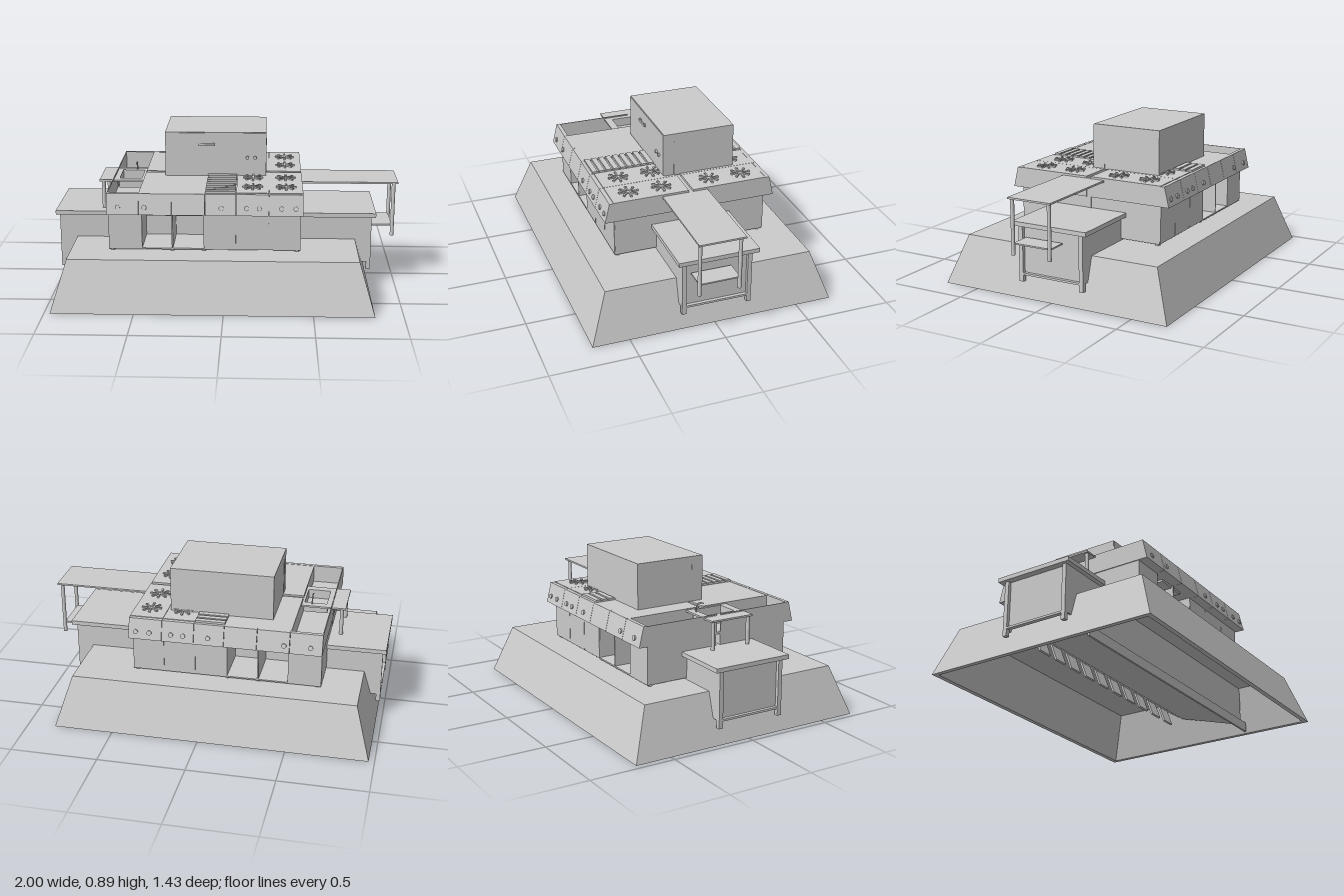
import * as THREE from 'three';

const mat = new THREE.MeshStandardMaterial({ color: 0xcccccc, flatShading: true, side: THREE.DoubleSide });

export function createModel() {
  const root = new THREE.Group();

  const add = (name, geo, parent = root) => {
    const m = new THREE.Mesh(geo, mat);
    m.name = name;
    parent.add(m);
    return m;
  };
  // Box given by its limits on each axis
  const box = (name, x0, x1, y0, y1, z0, z1, parent) => {
    const g = new THREE.BoxGeometry(x1 - x0, y1 - y0, z1 - z0);
    g.translate((x0 + x1) / 2, (y0 + y1) / 2, (z0 + z1) / 2);
    return add(name, g, parent);
  };
  // Upright round post
  const post = (name, x, z, y0, y1, r, parent) => {
    const g = new THREE.CylinderGeometry(r, r, y1 - y0, 12);
    g.translate(x, (y0 + y1) / 2, z);
    return add(name, g, parent);
  };
  const toShape = pts => new THREE.Shape(pts.map(p => new THREE.Vector2(...p)));
  const extrude = (shape, depth) => new THREE.ExtrudeGeometry(shape, { depth, bevelEnabled: false });
  // Profile of [z, y] points swept from x0 to x1
  const sweepX = (name, pts, x0, x1, parent) => {
    const g = extrude(toShape(pts), x1 - x0);
    g.rotateY(-Math.PI / 2);
    g.translate(x1, 0, 0);
    return add(name, g, parent);
  };
  const group = name => {
    const g = new THREE.Group();
    g.name = name;
    root.add(g);
    return g;
  };

  // Hood shell: rectangular rings rolled from the outer roof round the rim to the inner ceiling
  const hood = group('hood');
  const rings = [
    [-0.88, 0.755, -0.61, 0.61, 0.285], [-0.967, 0.841, -0.713, 0.713, 0],
    [-0.94, 0.815, -0.685, 0.685, 0], [-0.86, 0.735, -0.59, 0.59, 0.275],
  ].map(([x0, x1, z0, z1, y]) => [[x0, y, z1], [x1, y, z1], [x1, y, z0], [x0, y, z0]]);
  const v = [];
  const quad = (a, b, c, d) => v.push(...a, ...b, ...c, ...a, ...c, ...d);
  quad(...rings[0]);
  for (let r = 0; r < 3; r++)
    for (let i = 0; i < 4; i++) {
      const j = (i + 1) % 4;
      quad(rings[r + 1][i], rings[r + 1][j], rings[r][j], rings[r][i]);
    }
  quad(...[...rings[3]].reverse());
  const shell = new THREE.BufferGeometry();
  shell.setAttribute('position', new THREE.Float32BufferAttribute(v, 3));
  shell.computeVertexNormals();
  add('hoodShell', shell, hood);

  // Sloped plenum with a drip lip, and a row of steep filters behind it
  sweepX('plenum', [[0.3, 0.275], [0.3, 0.05], [0.25, 0.05], [-0.12, 0.16], [-0.3, 0.275]], -0.87, 0.745, hood);
  box('dripLip', -0.915, 0.79, 0.002, 0.06, 0.3, 0.312, hood);
  for (let i = 0; i < 11; i++) {
    const f = box('filter', -0.045, 0.045, -0.085, 0.085, -0.006, 0.006, hood);
    f.position.set(0.66 - i * 0.145, 0.2, -0.21);
    f.rotation.x = -0.35;
  }

  // Long low table running through the ranges, its ends standing out past the hood
  const low = group('lowTable');
  box('lowTableTop', -1, 0.873, 0.425, 0.45, -0.243, 0.228, low);
  for (const z of [-0.21, 0.19]) {
    const g = extrude(toShape([[-0.975, 0.425], [-0.975, 0.145], [-0.923, 0.145], [-0.88, 0.285],
      [0.755, 0.285], [0.797, 0.145], [0.845, 0.145], [0.845, 0.425]]), 0.01);
    g.translate(0, 0, z);
    add('sidePanel', g, low);
  }
  for (const [xl, xEnd] of [[-0.98, -0.96], [0.825, 0.82]]) {
    box('endPanel', xEnd, xEnd + 0.01, 0.145, 0.425, -0.2, 0.19, low);
    for (const z of [-0.21, 0.175]) box('lowTableLeg', xl, xl + 0.025, 0.1, 0.425, z, z + 0.025, low);
    box('endRail', xl, xl + 0.025, 0.14, 0.152, -0.19, 0.18, low);
  }

  // Two cooking ranges back to back; s = 1 faces front, s = -1 faces back
  box('rangeSpine', -0.485, 0.435, 0.3, 0.62, -0.018, 0.008);
  const modules = [[-0.665, -0.483], [-0.481, -0.298], [-0.296, -0.111], [-0.109, 0.062], [0.064, 0.247], [0.249, 0.44]];
  for (const s of [1, -1]) {
    const range = group(s > 0 ? 'frontRange' : 'backRange');
    const zc = s > 0 ? 0 : -0.01;
    const bz = (name, x0, x1, y0, y1, a, b) => {
      const z0 = zc + s * a, z1 = zc + s * b;
      return box(name, x0, x1, y0, y1, Math.min(z0, z1), Math.max(z0, z1), range);
    };
    const d = 0.008;
    // Cabinets, open in two bays
    bz('endCabinet', -0.66, -0.47, 0.295, 0.515, d, 0.45);
    bz('cabinetFloor', -0.47, -0.12, 0.295, 0.303, d, 0.45);
    bz('cabinetPartition', -0.302, -0.295, 0.3, 0.515, d, 0.45);
    bz('underTray', -0.4, -0.21, 0.502, 0.515, 0.1, 0.44);
    bz('mainCabinet', -0.12, 0.43, 0.295, 0.515, d, 0.446);
    for (let i = 0; i < 3; i++)
      bz('cabinetDoor', -0.118 + i * 0.183, 0.062 + i * 0.183, 0.298, 0.514, 0.446, 0.45);
    for (const x of [-0.64, -0.3, -0.12, 0.41])
      for (const z of [0.05, 0.425]) post('foot', x, zc + s * z, 0.28, 0.297, 0.014, range);

    // Worktop with an open well at the left end
    bz('wellFloor', -0.665, -0.485, 0.515, 0.528, -0.005, 0.46);
    bz('wellOuterWall', -0.665, -0.66, 0.528, 0.63, d, 0.46);
    bz('worktop', -0.485, 0.44, 0.515, 0.63, d, 0.47);

    // Slanted control panels and shallow knobs
    modules.forEach(([x0, x1], i) => {
      sweepX('controlPanel', [[0.455, 0.515], [0.505, 0.515], [0.477, 0.632], [0.455, 0.632]]
        .map(p => [zc + s * p[0], p[1]]), x0, x1, range);
      const n = [[0.065], [0.03], [], [0.09], [0.06, 0.13], [0.07, 0.15]][i];
      for (const o of n) {
        const k = add('knob', new THREE.CylinderGeometry(0.014, 0.014, 0.014, 12), range);
        k.position.set(x0 + o, 0.556, zc + s * 0.496);
        k.rotation.x = s * (Math.PI / 2 - 0.23);
      }
      if (i > 3) {
        // Burner plates with star grates
        bz('burnerPlate', x0, x1, 0.63, 0.634, 0.008, 0.452);
        for (const z of [0.14, 0.335]) {
          const star = new THREE.Group();
          star.name = 'burner';
          star.position.set((x0 + x1) / 2, 0.638, zc + s * z);
          range.add(star);
          post('burnerCap', 0, 0, -0.005, 0.002, 0.014, star);
          for (let a = 0; a < 8; a++) {
            const arm = new THREE.Group();
            arm.name = 'grateArm';
            arm.rotation.y = a * Math.PI / 4;
            star.add(arm);
            box('grateBar', 0.01, 0.058, -0.005, 0.004, -0.004, 0.004, arm);
            box('grateTip', 0.046, 0.058, -0.005, 0.005, -0.006, 0.006, arm);
          }
        }
      }
    });

    // Grill bars with a side rail at each end
    for (let i = 0; i < 9; i++) {
      const z = 0.085 + i * 0.043;
      bz('grillBar', -0.11, 0.06, 0.632, 0.644, z, z + 0.03);
    }
    for (const x of [-0.108, 0.05]) bz('grillRail', x, x + 0.008, 0.63, 0.637, 0.085, 0.45);
  }

  // Oven standing on the worktop
  const oven = group('oven');
  box('ovenBody', -0.363, 0.231, 0.63, 0.893, -0.345, 0.081, oven);
  box('ovenDoor', -0.36, 0.088, 0.637, 0.89, 0.081, 0.086, oven);
  box('controlStrip', 0.093, 0.229, 0.637, 0.89, 0.081, 0.086, oven);
  box('doorHandle', -0.167, -0.07, 0.815, 0.828, 0.091, 0.098, oven);
  for (const x of [-0.16, -0.08]) box('handleMount', x - 0.006, x + 0.006, 0.813, 0.83, 0.084, 0.093, oven);
  for (const x of [0.12, 0.165]) {
    const k = add('ovenKnob', new THREE.CylinderGeometry(0.01, 0.01, 0.014, 12), oven);
    k.position.set(x, 0.743, 0.09);
    k.rotation.x = Math.PI / 2;
  }
  for (const x of [-0.365, 0.231]) box('sideBar', x, x + 0.002, 0.635, 0.845, 0.01, 0.022, oven);

  // Tall side table with shelf
  const side = group('sideTable');
  box('sideTableTop', 0.43, 1, 0.612, 0.622, -0.105, 0.165, side);
  for (const z of [-0.082, 0.15]) post('sideTableLeg', 0.975, z, 0.295, 0.612, 0.011, side);
  box('sideTableShelf', 0.85, 0.972, 0.354, 0.362, -0.085, 0.15, side);

  // Sink table: top with a cut-out basin
  const sink = group('sinkTable');
  const outline = toShape([[-0.745, -0.165], [-0.487, -0.165], [-0.487, 0.105], [-0.745, 0.105]]);
  outline.holes.push(toShape([[-0.63, -0.12], [-0.63, 0.06], [-0.5, 0.06], [-0.5, -0.12]]));
  const top = extrude(outline, 0.01);
  top.rotateX(-Math.PI / 2);
  top.translate(0, 0.613, 0);
  add('sinkTableTop', top, sink);
  box('basinFloor', -0.63, -0.5, 0.565, 0.57, -0.06, 0.12, sink);
  for (const x of [-0.634, -0.5]) box('basinSide', x, x + 0.004, 0.565, 0.615, -0.06, 0.12, sink);
  for (const z of [-0.064, 0.12]) box('basinEnd', -0.634, -0.496, 0.565, 0.615, z, z + 0.004, sink);
  for (const z of [-0.082, 0.15]) post('sinkTableLeg', -0.722, z, 0.445, 0.613, 0.011, sink);
  const spout = new THREE.CatmullRomCurve3([[0.615, -0.075], [0.655, -0.075], [0.672, -0.06], [0.668, -0.03]]
    .map(([y, z]) => new THREE.Vector3(-0.547, y, z)));
  add('faucet', new THREE.TubeGeometry(spout, 12, 0.004, 8), sink);

  return root;
}
